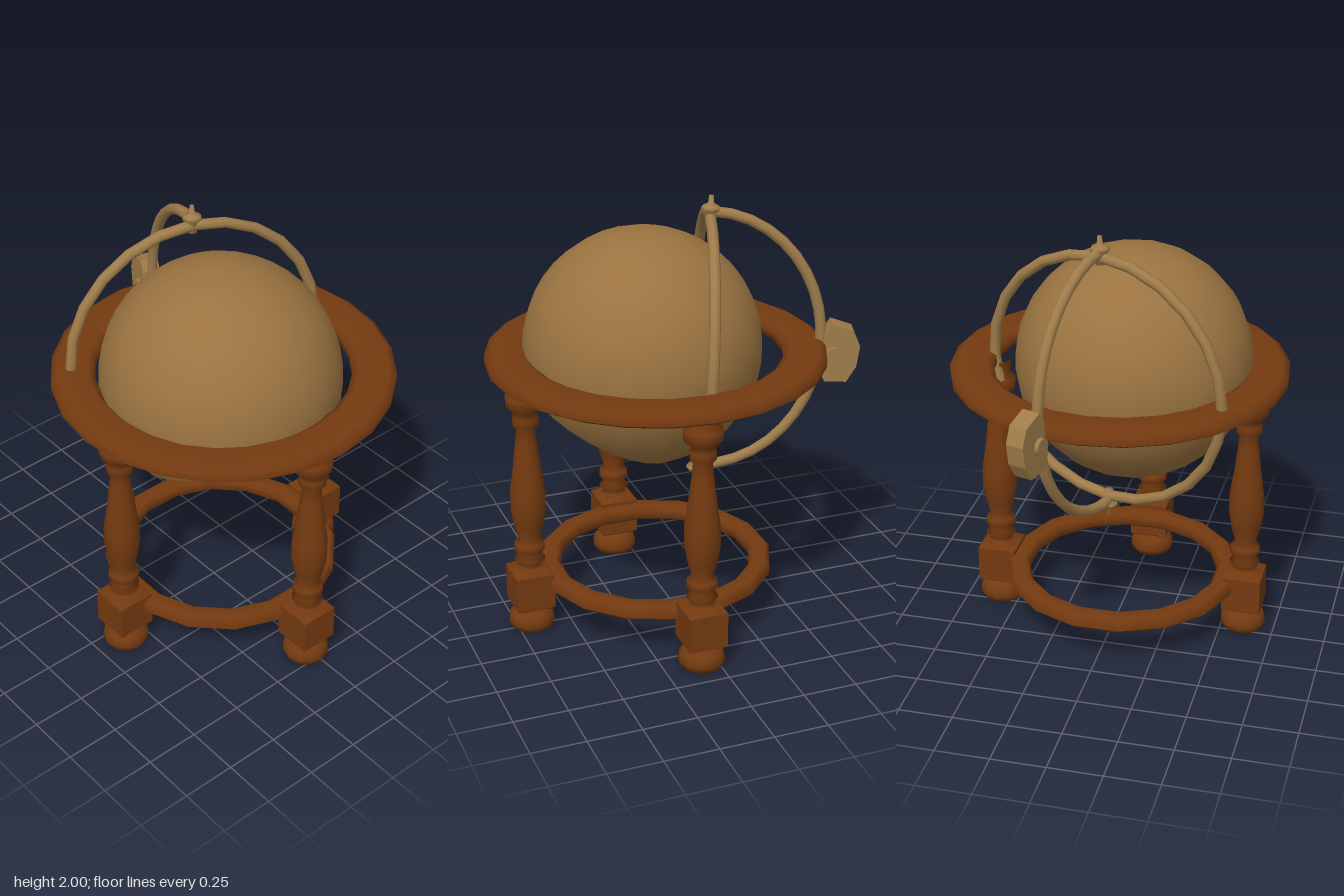
import * as THREE from 'three';

const wood = new THREE.MeshStandardMaterial({ color: 0x743a10 });
wood.name = 'dark wood';
const tan = new THREE.MeshStandardMaterial({ color: 0x9a7340 });
tan.name = 'globe tan';
const brass = new THREE.MeshStandardMaterial({ color: 0x9f7c4a });
brass.name = 'brass';

function add(parent, name, geometry, material, x = 0, y = 0, z = 0) {
  const mesh = new THREE.Mesh(geometry, material);
  mesh.name = name;
  mesh.position.set(x, y, z);
  parent.add(mesh);
  return mesh;
}

const lathe = (pts, sides, start = 0) =>
  new THREE.LatheGeometry(pts.map(p => new THREE.Vector2(p[0], p[1])), sides, start);

// Flat hoop with an eight-sided cross-section
function hoop(radius, halfWidth, halfHeight, sides, start, chamfer) {
  const w = halfWidth, h = halfHeight, c = chamfer;
  return lathe([
    [w, -h / 2], [w, h / 2], [w - c, h], [c - w, h],
    [-w, h / 2], [-w, -h / 2], [c - w, -h], [w - c, -h], [w, -h / 2],
  ].map(([r, y]) => [radius + r, y]), sides, start);
}

// Turned leg: bun foot, square block, baluster
function makeLeg(x, z) {
  const leg = new THREE.Group();
  leg.name = 'leg';
  leg.position.set(x, 0, z);
  add(leg, 'foot', lathe([
    [0, 0], [0.095, 0], [0.108, 0.03], [0.1, 0.065], [0.075, 0.092], [0.055, 0.1], [0.06, 0.12],
  ], 12), wood);
  add(leg, 'block', new THREE.BoxGeometry(0.18, 0.17, 0.18), wood, 0, 0.2, 0);
  for (const s of [-1, 1]) { // sloped shoulders above and below the block
    const shoulder = new THREE.CylinderGeometry(
      s > 0 ? 0.085 : 0.127, s > 0 ? 0.127 : 0.085, 0.02, 4);
    shoulder.rotateY(Math.PI / 4);
    add(leg, 'blockShoulder', shoulder, wood, 0, 0.2 + s * 0.095, 0);
  }
  add(leg, 'baluster', lathe([
    [0.075, 0.29], [0.06, 0.31], [0.045, 0.325], [0.072, 0.345], [0.05, 0.37],
    [0.072, 0.4], [0.068, 0.43], [0.048, 0.45], [0.068, 0.52], [0.082, 0.6],
    [0.082, 0.69], [0.066, 0.8], [0.05, 0.93], [0.043, 1.0], [0.06, 1.02],
    [0.06, 1.06], [0.05, 1.08], [0.087, 1.11], [0.09, 1.16], [0.06, 1.185],
    [0.07, 1.24], [0.07, 1.26],
  ], 12), wood);
  return leg;
}

// Globe with a flat cut across its underside
function makeGlobe() {
  const globe = new THREE.Group();
  globe.name = 'globe';
  const R = 0.542, cut = 0.384;
  add(globe, 'globeShell', new THREE.SphereGeometry(R, 24, 16, 0, Math.PI * 2, 0,
    Math.PI - Math.acos(cut / R)), tan);
  const base = new THREE.CircleGeometry(Math.sqrt(R * R - cut * cut), 24);
  base.rotateX(Math.PI / 2);
  add(globe, 'globeFlatBase', base, tan, 0, -cut, 0);
  globe.quaternion.setFromUnitVectors(
    new THREE.Vector3(0, 1, 0), new THREE.Vector3(0.17, 0.88, -0.43).normalize());
  globe.position.set(-0.055, 1.305, 0.11);
  return globe;
}

// Full meridian ring, rear half arc, counterweight and pivots
function makeMeridian() {
  const g = new THREE.Group();
  g.name = 'meridianFrame';
  add(g, 'meridianRing', new THREE.TorusGeometry(0.592, 0.025, 8, 24), brass);

  const pts = [];
  for (let i = 0; i <= 16; i++) {
    const a = Math.PI * i / 16;
    pts.push(new THREE.Vector3(0, 0.617 * Math.cos(a), -0.535 * Math.sin(a)));
  }
  add(g, 'rearArc', new THREE.TubeGeometry(
    new THREE.CatmullRomCurve3(pts), 20, 0.025, 8), brass);

  // Counterweight outline: x runs backward, y up
  const outline = new THREE.Shape([
    [0.53, -0.11], [0.56, -0.165], [0.66, -0.165], [0.7, -0.09], [0.71, 0.01],
    [0.675, 0.085], [0.575, 0.115], [0.545, 0.06],
  ].map(p => new THREE.Vector2(p[0], p[1])));
  const weight = new THREE.ExtrudeGeometry(outline, { depth: 0.085, bevelEnabled: false });
  weight.translate(0, 0, -0.0425);
  weight.rotateY(Math.PI / 2);
  add(g, 'counterweight', weight, brass);
  const boss = new THREE.CylinderGeometry(0.04, 0.04, 0.125, 10);
  boss.rotateZ(Math.PI / 2);
  add(g, 'counterweightBoss', boss, brass, 0, -0.035, -0.59);

  for (const s of [1, -1]) {
    const pivot = new THREE.Group();
    pivot.name = s > 0 ? 'topPivot' : 'bottomPivot';
    add(pivot, 'pivotCollar', lathe([
      [0, 0.56], [0.022, 0.56], [0.026, 0.61], [0.045, 0.625],
      [0.04, 0.64], [0.014, 0.655], [0.01, 0.69], [0, 0.69],
    ], 8), brass);
    if (s < 0) pivot.rotation.x = Math.PI;
    g.add(pivot);
  }

  // Slightly leaning pole axis, ring turned about it
  const up = new THREE.Vector3(0.012, 0.62, -0.027).normalize();
  const side = new THREE.Vector3(Math.cos(0.31), 0, Math.sin(0.31));
  side.addScaledVector(up, -side.dot(up)).normalize();
  const front = new THREE.Vector3().crossVectors(side, up);
  g.quaternion.setFromRotationMatrix(new THREE.Matrix4().makeBasis(side, up, front));
  g.position.set(0.017, 1.31, -0.155);
  return g;
}

export function createModel() {
  const model = new THREE.Group();
  model.name = 'floorGlobe';

  add(model, 'horizonRing', hoop(0.672, 0.098, 0.037, 24, 0, 0.03), wood, 0, 1.28, 0.065);
  add(model, 'stretcherRing', hoop(0.5, 0.05, 0.037, 16, Math.PI / 16, 0.02),
    wood, -0.015, 0.23, 0.07);

  for (const [x, z] of [[-0.6, 0.07], [0.59, 0.07], [-0.018, 0.68]]) model.add(makeLeg(x, z));

  model.add(makeGlobe(), makeMeridian());
  return model;
}
